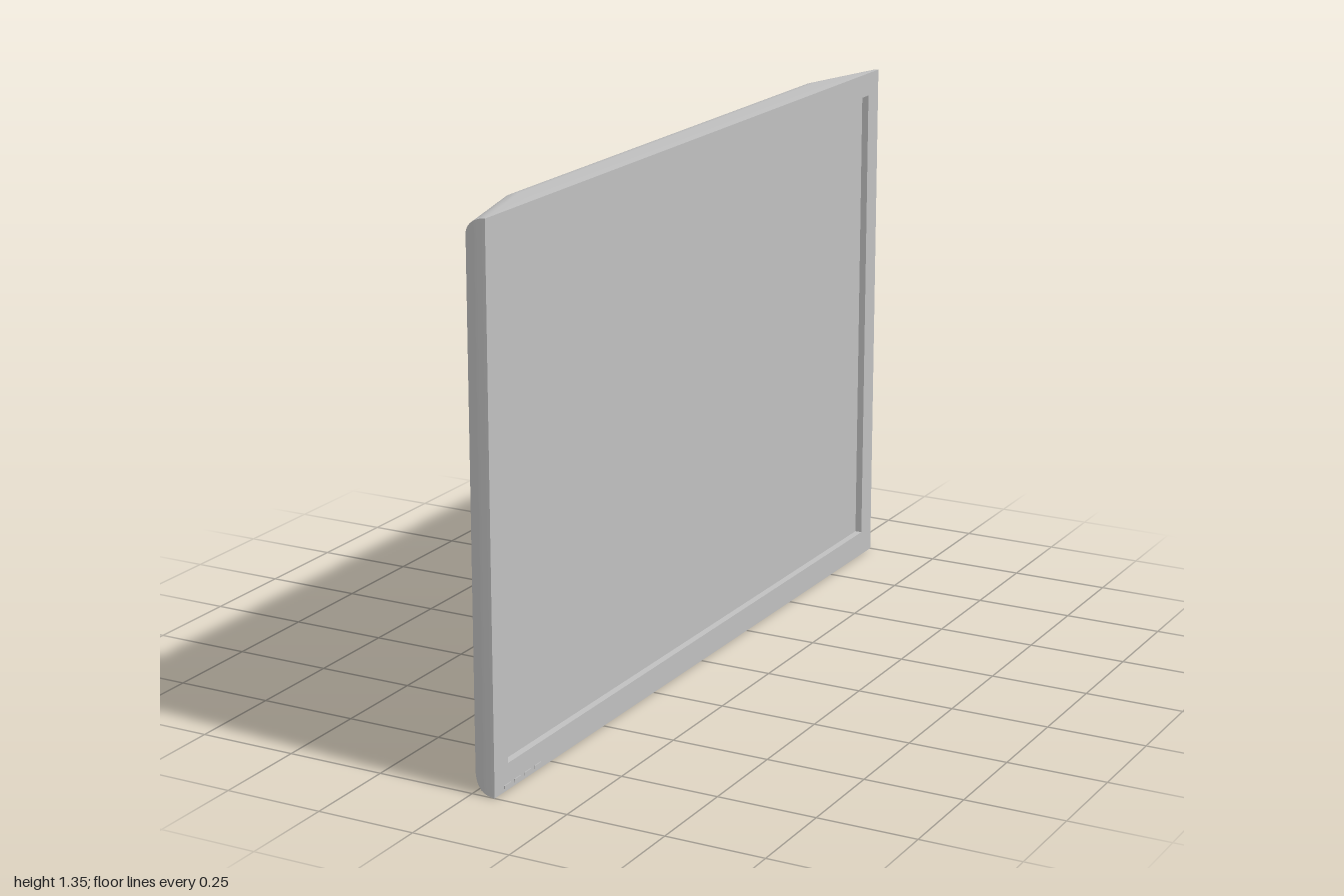
import * as THREE from 'three';
import { toCreasedNormals } from 'three/addons/utils/BufferGeometryUtils.js';

const H = 1.35, FRONT = 0.06, BACK = -0.065;
const R = 0.06;        // fillet along the top and bottom
const END_R = 0.045;   // fillet along the two upright ends
const STEPS = 12;
const OPEN_Z = 0.94, OPEN_Y0 = 0.065, OPEN_Y1 = 1.29, RECESS = 0.018;

// Depth of the rear surface: flat middle, sloped flanks, rounded rims
function rearX(y, z) {
  const az = Math.abs(z);
  const slope = BACK + 0.065 * Math.max(0, (az - 0.75) / 0.25);
  const t = Math.max(0, R - Math.min(y, H - y));
  const fillet = R - Math.sqrt(Math.max(0, R * R - t * t));
  const e = az - (1 - END_R);
  const end = e > 0 ? FRONT - 0.025 - Math.sqrt(Math.max(0, END_R * END_R - e * e)) : -1;
  return Math.min(FRONT, Math.max(slope + fillet, end));
}

// Rear shell: a grid over y and z whose last ring folds forward to the front edge
function shellGeometry() {
  const low = [], rim = [];
  for (let i = 0; i <= STEPS; i++) {
    const a = (i / STEPS) * Math.PI / 2;
    low.push(R * (1 - Math.cos(a)));
    rim.push(1 - END_R + END_R * Math.sin(a));
  }
  low.sort((a, b) => a - b);
  const fine = low.map((v, i) => R * (1 - Math.sin((1 - i / STEPS) * Math.PI / 2)));
  const ys = [0, ...fine, ...fine.map(v => H - v).reverse(), H];
  const half = [0.75, 0.82, 0.89, ...rim, 1];
  const zs = [...half.map(v => -v).reverse(), ...half];
  const pos = [], idx = [];
  ys.forEach((y, i) => zs.forEach((z, j) => {
    const edge = i === 0 || j === 0 || i === ys.length - 1 || j === zs.length - 1;
    pos.push(edge ? FRONT : rearX(y, z), y, z);
  }));
  const n = zs.length;
  for (let i = 0; i < ys.length - 1; i++) {
    for (let j = 0; j < n - 1; j++) {
      const a = i * n + j, b = a + 1, c = b + n, d = a + n;
      idx.push(a, b, c, a, c, d);
    }
  }
  const g = new THREE.BufferGeometry();
  g.setAttribute('position', new THREE.Float32BufferAttribute(pos, 3));
  g.setIndex(idx);
  return toCreasedNormals(g, 0.2);
}

// Rectangle corners in the z-y plane, drawn in local x-y and turned to face +x
function rect(path, x0, x1, y0, y1) {
  path.moveTo(x0, y0);
  path.lineTo(x1, y0);
  path.lineTo(x1, y1);
  path.lineTo(x0, y1);
  path.closePath();
  return path;
}

export function createModel() {
  const group = new THREE.Group();
  const casing = new THREE.MeshStandardMaterial({ color: 0xc0c0c0 });
  casing.name = 'casing grey';
  const add = (name, geometry, x = 0, y = 0, z = 0) => {
    const m = new THREE.Mesh(geometry, casing);
    m.name = name;
    m.position.set(x, y, z);
    group.add(m);
    return m;
  };

  add('rearShell', shellGeometry());

  // Flat frame round the screen
  const frame = rect(new THREE.Shape(), -1, 1, 0, H);
  frame.holes.push(rect(new THREE.Path(), -OPEN_Z, OPEN_Z, OPEN_Y0, OPEN_Y1));
  add('bezel', new THREE.ShapeGeometry(frame).rotateY(Math.PI / 2), FRONT);

  // Recessed screen and the four walls of its opening
  const w = OPEN_Z * 2, h = OPEN_Y1 - OPEN_Y0, cy = (OPEN_Y0 + OPEN_Y1) / 2;
  add('screen', new THREE.PlaneGeometry(w, h).rotateY(Math.PI / 2), FRONT - RECESS, cy);
  const wx = FRONT - RECESS / 2;
  for (const s of [-1, 1]) {
    add('openingLedge', new THREE.PlaneGeometry(RECESS, w).rotateX(s * Math.PI / 2), wx, cy + s * h / 2);
    add('openingSide', new THREE.PlaneGeometry(RECESS, h).rotateY(s > 0 ? Math.PI : 0), wx, cy, s * OPEN_Z);
  }

  // Small control buttons at the lower corner
  for (let i = 0; i < 4; i++) {
    add('button', new THREE.BoxGeometry(0.002, 0.008, 0.028), FRONT + 0.001, 0.012, 0.945 - i * 0.045);
  }

  // Square of four mounting points on the back
  for (const y of [-0.25, 0.25]) {
    for (const z of [-0.25, 0.25]) {
      add('mountingPoint', new THREE.CylinderGeometry(0.007, 0.007, 0.002, 16).rotateZ(Math.PI / 2),
        BACK - 0.0005, H / 2 + y, z);
    }
  }
  return group;
}
